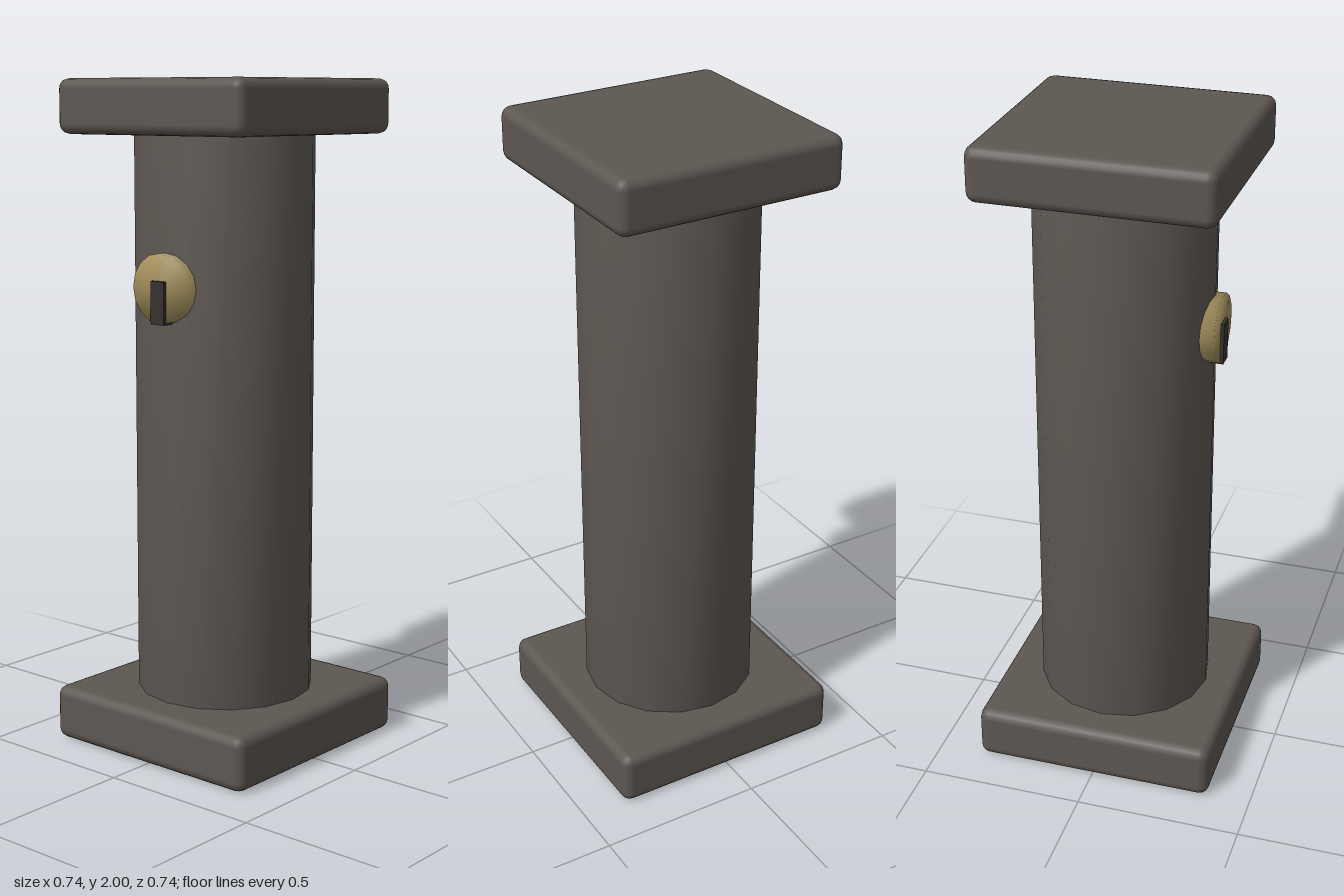
import * as THREE from 'three';
import { mergeVertices } from 'three/addons/utils/BufferGeometryUtils.js';
import { RoundedBoxGeometry } from 'three/addons/geometries/RoundedBoxGeometry.js';

// cylinder whose shading runs softly over the rims
function softCylinder(radius, height, sides) {
  let g = new THREE.CylinderGeometry(radius, radius, height, sides);
  g.deleteAttribute('normal');
  g.deleteAttribute('uv');
  g = mergeVertices(g, 1e-4);
  g.computeVertexNormals();
  return g;
}

export function createModel() {
  const group = new THREE.Group();
  const stone = new THREE.MeshStandardMaterial({ color: 0x5d5751 });
  const brass = new THREE.MeshStandardMaterial({ color: 0xa38f5e });
  const dark = new THREE.MeshStandardMaterial({ color: 0x35312d });

  const add = (name, geometry, material, x, y, z) => {
    const mesh = new THREE.Mesh(geometry, material);
    mesh.name = name;
    mesh.position.set(x, y, z);
    group.add(mesh);
    return mesh;
  };

  // square slabs at foot and head
  add('base', new RoundedBoxGeometry(0.74, 0.165, 0.74, 2, 0.03), stone, 0, 0.0825, 0);
  add('cap', new RoundedBoxGeometry(0.7, 0.16, 0.7, 2, 0.03), stone, 0, 1.92, 0);

  // round shaft, its ends sunk into the slabs
  add('shaft', softCylinder(0.267, 1.9, 16), stone, 0, 0.97, 0);

  // round lock plate on the front, with its keyhole slot
  const plate = add('lockPlate', softCylinder(0.102, 0.08, 16), brass, 0, 1.407, 0.25);
  plate.rotation.x = Math.PI / 2;
  add('keyhole', new THREE.BoxGeometry(0.05, 0.125, 0.04), dark, 0, 1.367, 0.28);

  return group;
}
